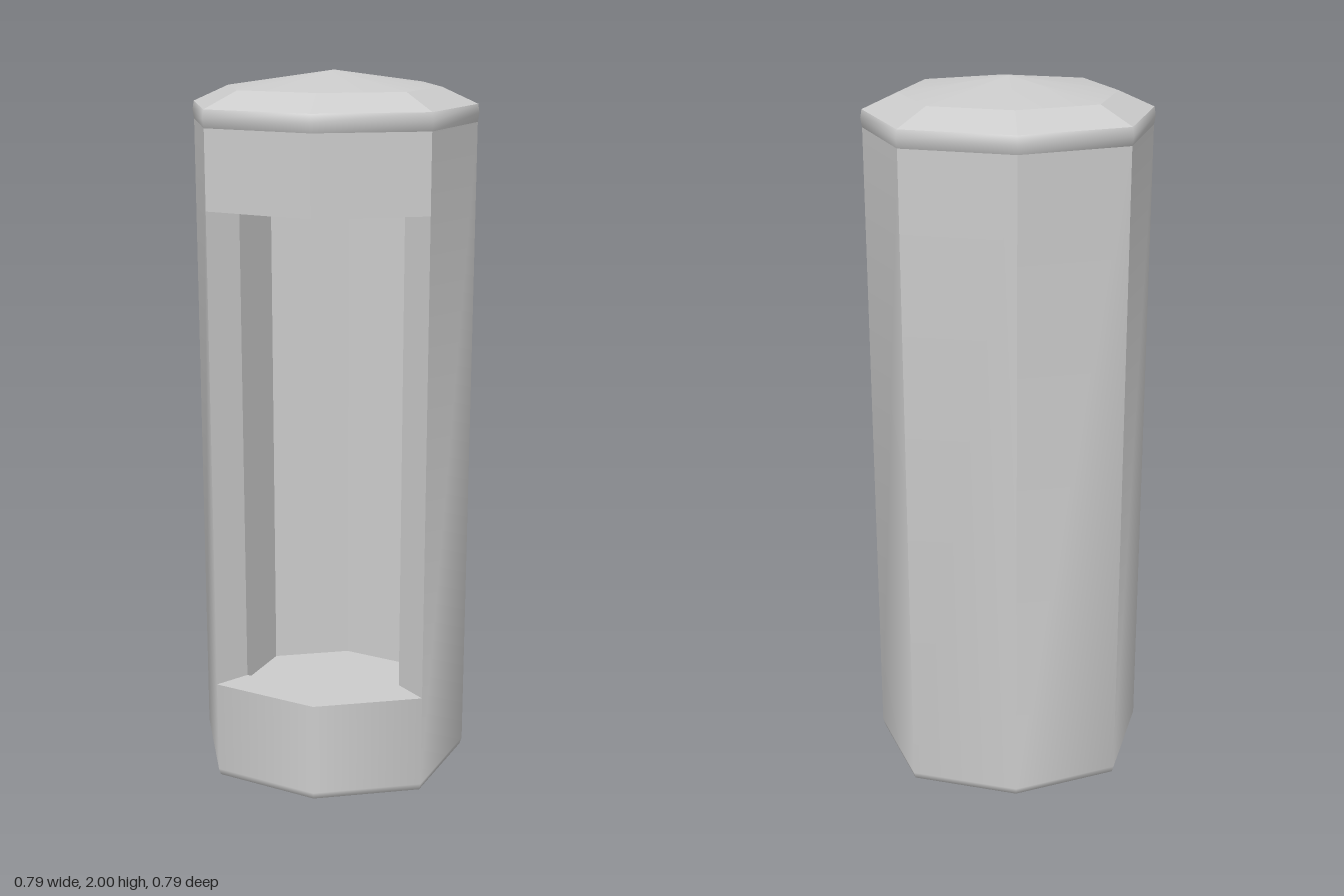
import * as THREE from 'three';
import { toCreasedNormals } from 'three/addons/utils/BufferGeometryUtils.js';

const ALL = [0, 1, 2, 3, 4, 5, 6, 7];
const FRONT = [7, 0];               // the two faces with the opening
const CLOSED = [1, 2, 3, 4, 5, 6];
const SILL = 0.29, LINTEL = 1.65, SHOULDER = 1.865;
const INNER = 0.75, FLOOR = 0.145, CEILING = 1.82;

// Corner i of the octagon, counted from the front towards +x
function corner(i, scale, y) {
  const a = (i * Math.PI) / 4;
  const r = (i % 2 ? 0.418 : 0.393) * scale;
  return new THREE.Vector3(Math.sin(a) * r, y, Math.cos(a) * r);
}

// Collects quads and triangles, each with flat or given corner normals
function builder() {
  const pos = [], nor = [];
  const tri = (pts, normals) => {
    const flat = new THREE.Vector3().crossVectors(
      pts[1].clone().sub(pts[0]), pts[2].clone().sub(pts[0])).normalize();
    pts.forEach((p, k) => {
      pos.push(p.x, p.y, p.z);
      const n = (normals && normals[k]) || flat;
      nor.push(n.x, n.y, n.z);
    });
  };
  const quad = (a, b, c, d, n = []) => {
    tri([a, b, c], [n[0], n[1], n[2]]);
    tri([a, c, d], [n[0], n[2], n[3]]);
  };
  // Band between two levels [scale, y]; smooth ends use the given normal slope
  const band = (faces, [s0, y0], [s1, y1], { flip = false, low = null, high = null } = {}) => {
    const smooth = (i, slope) => slope === null ? undefined
      : corner(i, 1, 0).normalize().setY(slope).normalize();
    for (const i of faces) {
      const q = [corner(i, s0, y0), corner(i + 1, s0, y0), corner(i + 1, s1, y1), corner(i, s1, y1)];
      if (flip) quad(q[3], q[2], q[1], q[0]);
      else quad(...q, [smooth(i, low), smooth(i + 1, low), smooth(i + 1, high), smooth(i, high)]);
    }
  };
  // Fan closing an octagon at a centre height
  const fan = (scale, y, centreY, up) => {
    const c = new THREE.Vector3(0, centreY, 0);
    for (const i of ALL) {
      const a = corner(i, scale, y), b = corner(i + 1, scale, y);
      tri(up ? [a, b, c] : [b, a, c]);
    }
  };
  const geometry = () => {
    const g = new THREE.BufferGeometry();
    g.setAttribute('position', new THREE.Float32BufferAttribute(pos, 3));
    g.setAttribute('normal', new THREE.Float32BufferAttribute(nor, 3));
    return g;
  };
  return { quad, band, fan, geometry };
}

export function createModel() {
  const group = new THREE.Group();
  const material = new THREE.MeshStandardMaterial({ color: 0xcccccc });
  const add = (name, geometry) => {
    const mesh = new THREE.Mesh(geometry, material);
    mesh.name = name;
    group.add(mesh);
  };

  // Outer shell: softly rounded at the foot, sharp facets at the shoulder
  const shell = builder();
  shell.band(CLOSED, [1, 0.02], [1, SHOULDER], { low: 0 });
  shell.band(FRONT, [1, 0.02], [1, SILL], { low: 0, high: 0 });
  shell.band(FRONT, [1, LINTEL], [1, SHOULDER]);
  add('outerShell', shell.geometry());

  // Closed foot with a tiny bevel
  const base = builder();
  base.band(ALL, [0.985, 0], [1, 0.02], { low: -0.8, high: 0 });
  base.fan(0.985, 0, 0, false);
  add('base', base.geometry());

  // Thickness of the wall around the opening
  const frame = builder();
  frame.band(FRONT, [1, SILL], [INNER, SILL]);
  frame.band(FRONT, [1, LINTEL], [INNER, LINTEL], { flip: true });
  const jamb = (i) => [corner(i, 1, SILL), corner(i, INNER, SILL),
    corner(i, INNER, LINTEL), corner(i, 1, LINTEL)];
  frame.quad(...jamb(7));
  frame.quad(...jamb(1).reverse());
  add('openingFrame', frame.geometry());

  // Hollow interior with sunken floor and ceiling
  const cavity = builder();
  cavity.band(CLOSED, [INNER, FLOOR], [INNER, CEILING], { flip: true });
  cavity.band(FRONT, [INNER, FLOOR], [INNER, SILL], { flip: true });
  cavity.band(FRONT, [INNER, LINTEL], [INNER, CEILING], { flip: true });
  cavity.fan(INNER, FLOOR, FLOOR, true);
  cavity.fan(INNER, CEILING, CEILING, false);
  add('cavity', cavity.geometry());

  // Rolled rim under the cap
  const rim = builder();
  rim.band(ALL, [1, SHOULDER], [1.01, 1.89], { low: -0.4, high: 0 });
  rim.band(ALL, [1.01, 1.89], [1, 1.913], { low: 0, high: 0.5 });
  add('rim', rim.geometry());

  // Bevelled cap with a shallow smooth point
  const cap = builder();
  cap.band(ALL, [1, 1.913], [INNER, 1.957]);
  cap.fan(INNER, 1.957, 2, true);
  add('cap', toCreasedNormals(cap.geometry(), THREE.MathUtils.degToRad(10)));

  return group;
}
